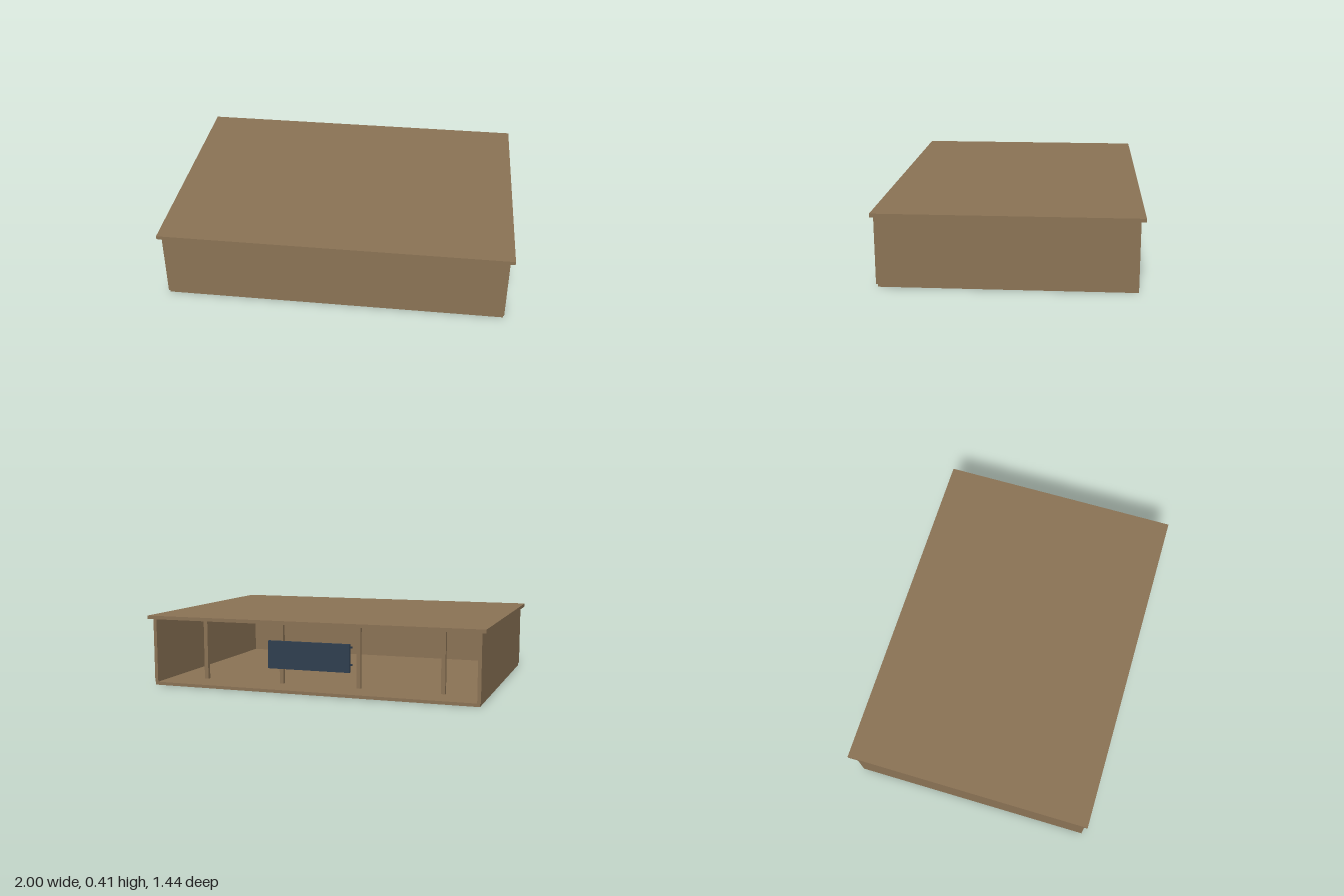
import * as THREE from 'three';

export function createModel() {
  const model = new THREE.Group();
  model.name = 'openBackedDesk';

  const wood = new THREE.MeshStandardMaterial({ color: 0x8b7355 });
  wood.name = 'brown wood';
  const slate = new THREE.MeshStandardMaterial({ color: 0x2f3f50 });
  slate.name = 'slate blue';

  // Box given by its lower and upper limits on each axis
  function board(name, material, [x0, x1], [y0, y1], [z0, z1]) {
    const mesh = new THREE.Mesh(new THREE.BoxGeometry(x1 - x0, y1 - y0, z1 - z0), material);
    mesh.position.set((x0 + x1) / 2, (y0 + y1) / 2, (z0 + z1) / 2);
    mesh.name = name;
    model.add(mesh);
  }

  // Case: floor, overhanging top, front and two sides; the back is open
  board('floor', wood, [-0.97, 0.97], [0, 0.018], [-0.695, 0.695]);
  board('top', wood, [-1, 1], [0.395, 0.415], [-0.72, 0.72]);
  board('frontPanel', wood, [-0.975, 0.975], [0.018, 0.395], [0.685, 0.705]);
  board('leftSide', wood, [0.955, 0.975], [0.018, 0.395], [-0.695, 0.685]);
  board('rightSide', wood, [-0.975, -0.955], [0.018, 0.395], [-0.695, 0.685]);

  // Row of posts inside, between floor and top
  for (const x of [-0.73, -0.237, 0.237, 0.73]) {
    board('post', wood, [x - 0.012, x + 0.012], [0.018, 0.395], [-0.512, -0.488]);
  }

  // Batten under the top
  board('topBatten', wood, [-0.475, 0.475], [0.38, 0.395], [-0.34, -0.32]);

  // Dark panel in the open back, with two thin rails behind it
  board('backPlate', slate, [-0.243, 0.243], [0.139, 0.297], [-0.69, -0.67]);
  for (const y of [0.18, 0.278]) {
    board('plateRail', slate, [-0.25, 0.25], [y - 0.005, y + 0.005], [-0.67, -0.658]);
  }

  return model;
}
